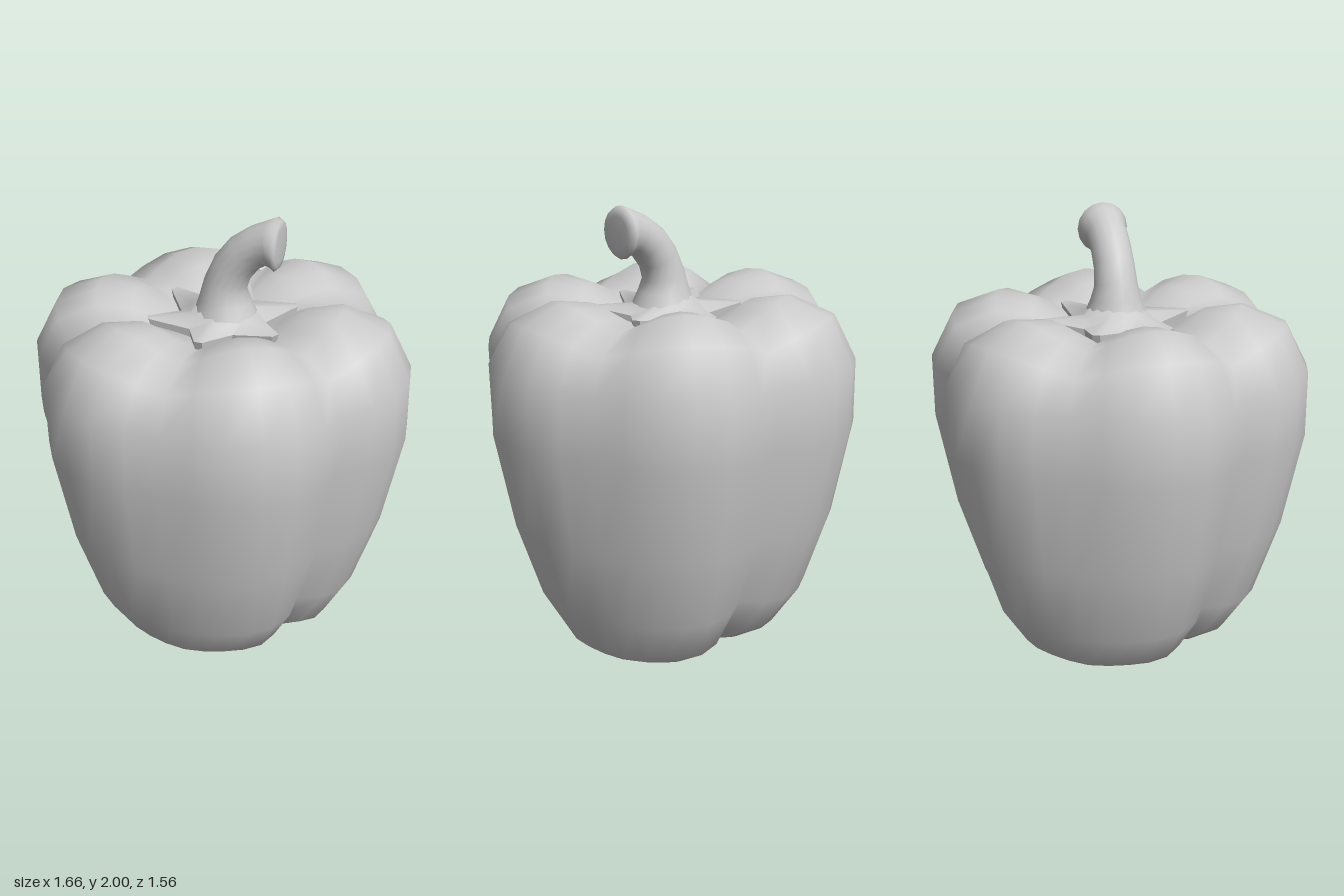
import * as THREE from 'three';
import { toCreasedNormals } from 'three/addons/utils/BufferGeometryUtils.js';

const rad = THREE.MathUtils.degToRad;
const lerp = THREE.MathUtils.lerp;

// Skin through equal-length rings of [x, y, z], listed from the bottom up.
function loft(rings) {
  const n = rings[0].length;
  const index = [];
  for (let i = 0; i < rings.length - 1; i++) {
    for (let j = 0; j < n; j++) {
      const a = i * n + j, b = i * n + (j + 1) % n;
      index.push(a, a + n, b, b, a + n, b + n);
    }
  }
  const geo = new THREE.BufferGeometry();
  geo.setAttribute('position', new THREE.Float32BufferAttribute(rings.flat(2), 3));
  geo.setIndex(index);
  geo.computeVertexNormals();
  return geo;
}

// Body sections as [radius, height]: lobe crest, shallow groove, deep groove.
const lobe = [[0.001, 0.09], [0.2, 0.035], [0.37, 0.045], [0.51, 0.13], [0.63, 0.31], [0.745, 0.66], [0.83, 1.08],
  [0.83, 1.36], [0.73, 1.56], [0.54, 1.635], [0.38, 1.61], [0.26, 1.53], [0.13, 1.47], [0.001, 1.46]];
const shallow = [[0.001, 0.09], [0.2, 0.035], [0.38, 0.045], [0.51, 0.12], [0.625, 0.31], [0.72, 0.66], [0.77, 1.08],
  [0.755, 1.34], [0.67, 1.48], [0.5, 1.54], [0.36, 1.53], [0.25, 1.5], [0.13, 1.47], [0.001, 1.46]];
const deep = [[0.001, 0.09], [0.15, 0.07], [0.28, 0.1], [0.4, 0.17], [0.515, 0.33], [0.635, 0.66], [0.715, 1.08],
  [0.73, 1.34], [0.65, 1.47], [0.5, 1.53], [0.36, 1.52], [0.25, 1.5], [0.13, 1.47], [0.001, 1.46]];

// Six lobes, paired into three by the deep grooves at 30, 150 and 270 degrees.
function bodyGeometry() {
  const sides = 36;
  return loft(lobe.map((crest, i) => Array.from({ length: sides }, (_, j) => {
    const deg = j * 360 / sides;
    const isDeep = Math.abs((deg + 30) % 120 - 60) < 30;
    const groove = isDeep ? deep[i] : shallow[i];
    const u = Math.abs(deg % 60 - 30) / 30;
    const w = Math.pow(Math.sin(u * Math.PI / 2), isDeep ? 0.8 : 1.2);
    const r = lerp(groove[0], crest[0], w);
    let y = lerp(groove[1], crest[1], w);
    // One foot hangs slightly lower than the others.
    if (i > 0 && i < 4) y -= 0.037 * Math.max(0, Math.cos(rad(deg + 30)));
    return [r * Math.cos(rad(deg)), y, r * Math.sin(rad(deg))];
  })));
}

// Six-pointed star with blunt tips lying in the grooves, rising to the stem.
function calyxGeometry() {
  const outline = [];
  for (let k = 0; k < 6; k++) {
    outline.push([k * 60, 0.19, 0], [k * 60 + 27, 0.325, 1], [k * 60 + 33, 0.325, 1]);
  }
  const place = (deg, r, y) => [r * Math.cos(rad(deg)) + 0.01, y, r * Math.sin(rad(deg)) - 0.005];
  const star = (scale, y, lift) => outline.map(([deg, r, tip]) => place(deg, r * scale, y + lift * tip));
  const circle = (r, y) => outline.map(([deg]) => place(deg, r, y));
  return toCreasedNormals(loft([
    circle(0.001, 1.46), star(0.95, 1.47, 0.03), star(1, 1.53, 0.025),
    circle(0.14, 1.565), circle(0.1, 1.61), circle(0.001, 1.61),
  ]), rad(50));
}

// Curved stalk: [x, y, radius, tilt from upright in degrees].
function stemGeometry() {
  const stations = [[0.02, 1.54, 0.145, 0], [0.02, 1.575, 0.13, 0], [0.02, 1.62, 0.112, 3], [0.022, 1.685, 0.094, 14],
    [0.053, 1.765, 0.088, 29], [0.105, 1.832, 0.087, 45], [0.165, 1.873, 0.088, 62], [0.212, 1.886, 0.098, 80],
    [0.24, 1.888, 0.112, 88], [0.257, 1.888, 0.1, 90], [0.262, 1.888, 0.07, 90], [0.262, 1.888, 0.001, 90]];
  const sides = 16;
  return loft(stations.map(([x, y, r, tilt]) => {
    const t = rad(tilt);
    return Array.from({ length: sides }, (_, j) => {
      const a = j / sides * Math.PI * 2;
      return [x + r * Math.cos(a) * Math.cos(t), y - r * Math.cos(a) * Math.sin(t), r * Math.sin(a)];
    });
  }));
}

export function createModel() {
  const group = new THREE.Group();
  group.name = 'bellPepper';
  const material = new THREE.MeshStandardMaterial({ color: 0xcccccc });
  const parts = { body: bodyGeometry(), calyx: calyxGeometry(), stem: stemGeometry() };
  for (const [name, geometry] of Object.entries(parts)) {
    const mesh = new THREE.Mesh(geometry, material);
    mesh.name = name;
    group.add(mesh);
  }
  return group;
}
